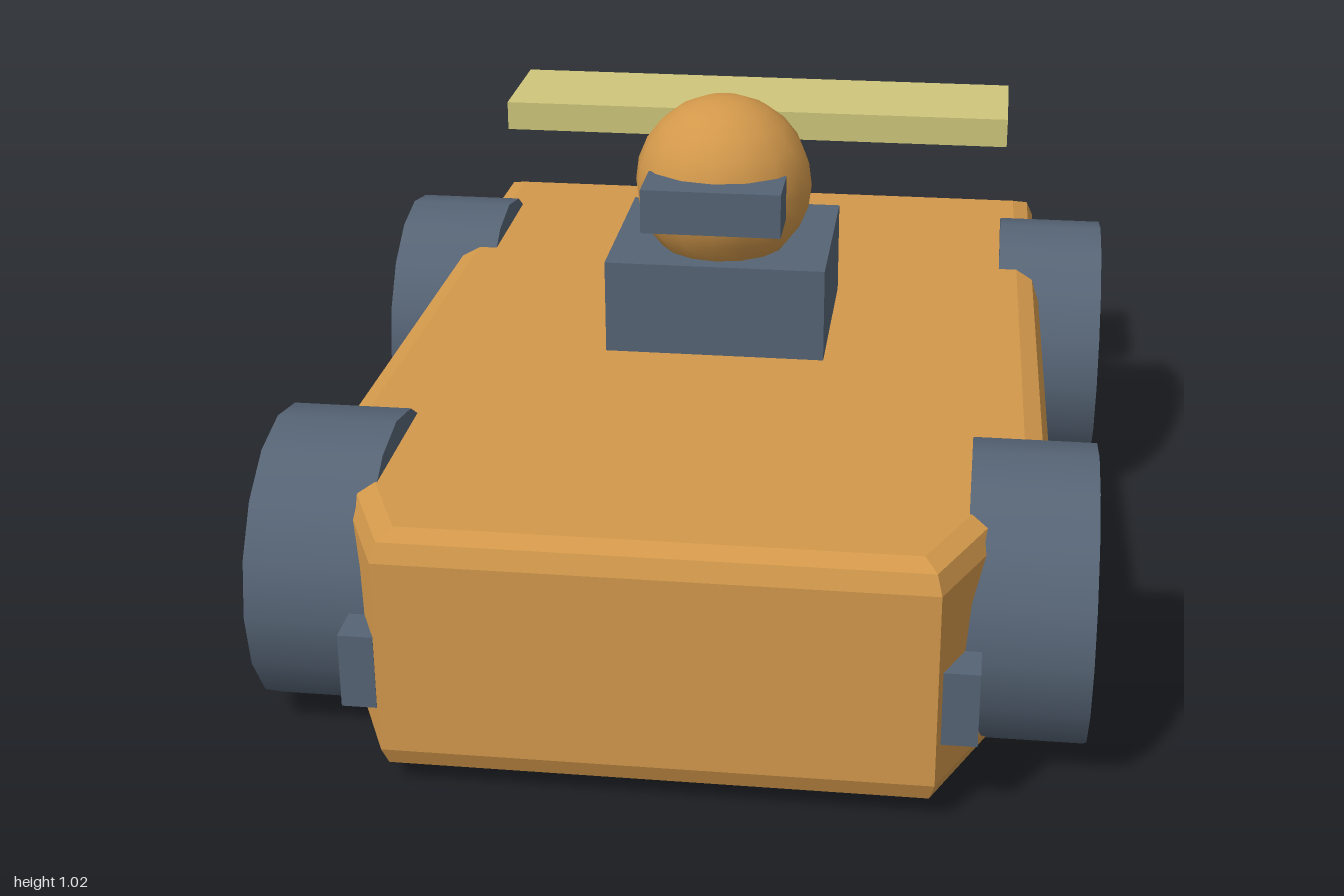
import * as THREE from 'three';

const material = (name, color) => {
  const m = new THREE.MeshStandardMaterial({ color });
  m.name = name;
  return m;
};

export function createModel() {
  const model = new THREE.Group();
  model.name = 'toyCar';
  const orange = material('orange', 0xd2984b);
  const slate = material('slate', 0x566475);
  const khaki = material('khaki', 0xcfc67b);

  const add = (name, geometry, mat, x = 0, y = 0, z = 0) => {
    const mesh = new THREE.Mesh(geometry, mat);
    mesh.name = name;
    mesh.position.set(x, y, z);
    model.add(mesh);
    return mesh;
  };
  // Box given by its minimum and maximum corners
  const addBox = (name, mat, [x0, y0, z0], [x1, y1, z1]) =>
    add(name, new THREE.BoxGeometry(x1 - x0, y1 - y0, z1 - z0), mat,
      (x0 + x1) / 2, (y0 + y1) / 2, (z0 + z1) / 2);

  // Body: plan outline with tapered nose, extruded upwards with a rounded bevel
  const half = [[0.468, 0.95], [0.64, 0.569], [0.61, -0.93]];
  const outline = [...half, ...half.map(([x, z]) => [-x, z]).reverse()];
  const shape = new THREE.Shape(outline.map(([x, z]) => new THREE.Vector2(x, -z)));
  const bodyGeometry = new THREE.ExtrudeGeometry(shape, {
    depth: 0.38, bevelEnabled: true, bevelSize: 0.05, bevelThickness: 0.05, bevelSegments: 2,
  });
  bodyGeometry.rotateX(-Math.PI / 2);
  add('body', bodyGeometry, orange, 0, 0.08, 0);

  // Wheels, headlights and tail lights, mirrored
  const wheelGeometry = new THREE.CylinderGeometry(0.281, 0.281, 0.23, 16).rotateZ(Math.PI / 2);
  const tailGeometry = new THREE.CylinderGeometry(0.073, 0.073, 0.05, 10).rotateX(Math.PI / 2);
  for (const [side, s] of [['left', 1], ['right', -1]]) {
    add(side + 'FrontWheel', wheelGeometry, slate, s * 0.655, 0.281, 0.628);
    add(side + 'RearWheel', wheelGeometry, slate, s * 0.695, 0.281, -0.607);
    add(side + 'Headlight', new THREE.BoxGeometry(0.065, 0.145, 0.13), slate, s * 0.54, 0.23, 0.92);
    add(side + 'TailLight', tailGeometry, khaki, s * 0.213, 0.378, -0.975);
  }

  // Driver: torso, head and visor
  addBox('torso', slate, [-0.226, 0.48, -0.29], [0.226, 0.705, 0.12]);
  add('head', new THREE.SphereGeometry(0.184, 16, 12), orange, 0, 0.833, -0.045);
  addBox('visor', slate, [-0.141, 0.795, 0.06], [0.141, 0.886, 0.182]);

  // Rear wing
  addBox('rearWing', khaki, [-0.586, 0.735, -0.935], [0.586, 0.801, -0.655]);

  return model;
}
